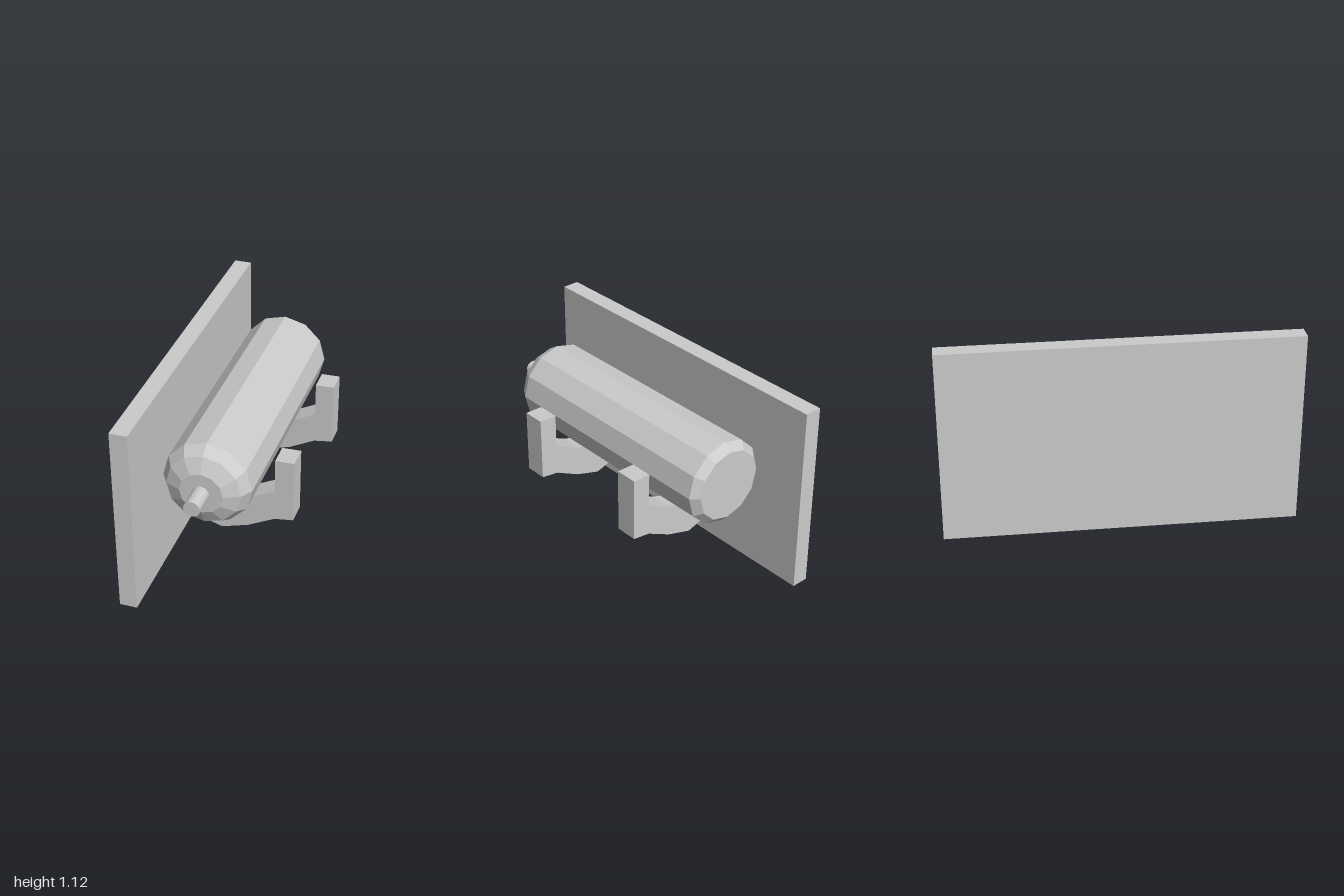
import * as THREE from 'three';

const material = new THREE.MeshStandardMaterial({ color: 0xcccccc, flatShading: true });

function addPart(parent, name, geometry, x = 0, y = 0, z = 0) {
  const mesh = new THREE.Mesh(geometry, material);
  mesh.name = name;
  mesh.position.set(x, y, z);
  parent.add(mesh);
  return mesh;
}

// Solid of revolution lying along z, from [radius, z] pairs ordered back to front
function turned(profile, sides) {
  const points = profile.map(([r, z]) => new THREE.Vector2(r, z));
  return new THREE.LatheGeometry(points, sides).rotateX(Math.PI / 2);
}

export function createModel() {
  const model = new THREE.Group();
  model.name = 'wallMountedTank';
  const axisY = 0.697;

  // Upright mounting plate
  addPart(model, 'wallPlate', new THREE.BoxGeometry(0.1, 1.12, 2), -0.359, 0.56, 0);

  // Twelve-sided tank with bevelled back and domed front
  addPart(model, 'tank', turned([
    [0, -0.76], [0.205, -0.76], [0.249, -0.717],
    [0.249, 0.69], [0.208, 0.757], [0.121, 0.798], [0, 0.798],
  ], 12), 0, axisY, 0);

  // Outlet stub
  addPart(model, 'nozzle', turned([
    [0.046, 0.79], [0.046, 0.94], [0, 0.94],
  ], 16), 0, axisY, 0);

  // Two cradle brackets with an upturned outer end
  const outline = new THREE.Shape([
    [-0.31, 0.362], [-0.152, 0.285], [0, 0.238], [0.152, 0.285], [0.302, 0.362], [0.409, 0.377],
    [0.409, 0.752], [0.302, 0.749],
    [0.302, 0.547], [0.152, 0.472], [0, 0.424], [-0.152, 0.472], [-0.31, 0.547],
  ].map(([x, y]) => new THREE.Vector2(x, y)));
  const depth = 0.13;
  const bracket = new THREE.ExtrudeGeometry(outline, { depth, bevelEnabled: false });
  bracket.translate(0, 0, -depth / 2);
  addPart(model, 'frontBracket', bracket, 0, 0, 0.4);
  addPart(model, 'backBracket', bracket, 0, 0, -0.4);

  return model;
}
